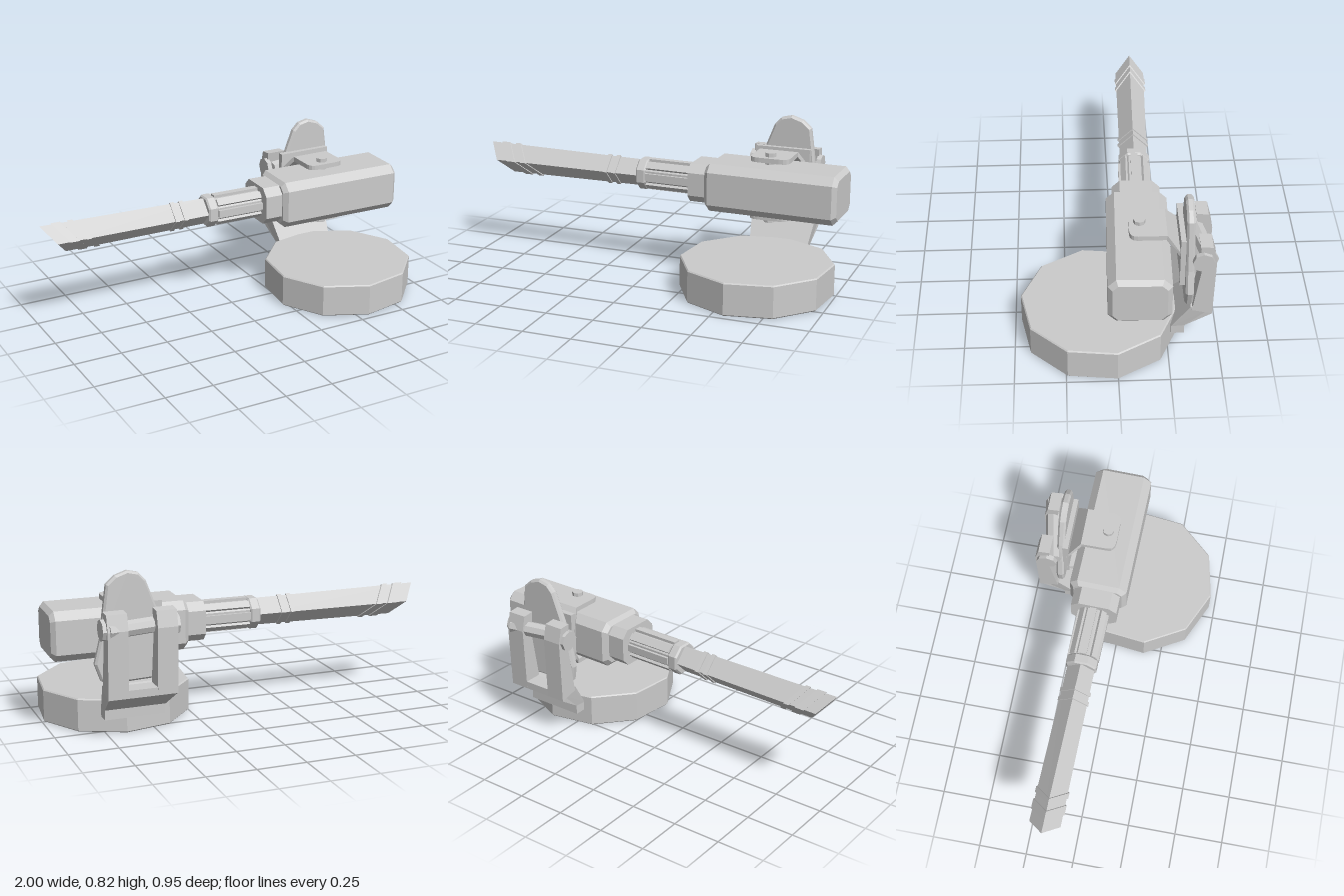
import * as THREE from 'three';

const mat = new THREE.MeshStandardMaterial({ color: 0xcccccc, flatShading: true });

function mesh(parent, name, geo, x = 0, y = 0, z = 0) {
  const m = new THREE.Mesh(geo, mat);
  m.name = name;
  m.position.set(x, y, z);
  parent.add(m);
  return m;
}

const shapeOf = pts => new THREE.Shape(pts.map(p => new THREE.Vector2(p[0], p[1])));

// Prism along x from a [z, y] profile; an optional bevel stays inside the outline
function prism(pts, x0, x1, bevel = 0) {
  const geo = new THREE.ExtrudeGeometry(shapeOf(pts.map(([z, y]) => [-z, y])), {
    depth: x1 - x0 - 2 * bevel, bevelEnabled: bevel > 0, bevelSegments: 1,
    bevelThickness: bevel, bevelSize: bevel, bevelOffset: -bevel,
  });
  return geo.rotateY(Math.PI / 2).translate(x0 + bevel, 0, 0);
}

// Rectangle with cut corners
const octagon = (h, w, c) => [
  [w, h - c], [w - c, h], [c - w, h], [-w, h - c],
  [-w, c - h], [c - w, -h], [w - c, -h], [w, c - h]];
const diamond = r => [[r, 0], [0, r], [-r, 0], [0, -r]];

function warp(geo, rule) {
  const p = geo.attributes.position;
  const v = new THREE.Vector3();
  for (let i = 0; i < p.count; i++) {
    rule(v.fromBufferAttribute(p, i));
    p.setXYZ(i, v.x, v.y, v.z);
  }
  geo.computeVertexNormals();
  return geo;
}

export function createModel() {
  const model = new THREE.Group();
  model.name = 'mountedGun';

  // Ten-sided base with a fine bevel
  const base = [[0.386, 0], [0.392, 0.006], [0.392, 0.164], [0.386, 0.17]];
  const baseProfile = [[0, 0], ...base, [0, 0.17]].map(p => new THREE.Vector2(...p));
  // Lathe angles run from +z towards +x
  mesh(model, 'base', new THREE.LatheGeometry(baseProfile, 10, -6.6 * Math.PI / 180), 0.605, 0, 0.08);

  // Gun, turned very slightly about its mount
  const gun = new THREE.Group();
  gun.name = 'gun';
  gun.position.set(0, 0.5, -0.12);
  gun.rotation.y = -0.0225;
  model.add(gun);
  mesh(gun, 'receiver', prism(octagon(0.125, 0.15, 0.04), 0.3, 0.995, 0.022), 0, -0.005, 0);
  mesh(gun, 'neck', prism(octagon(0.1, 0.12, 0.04), 0.205, 0.31));
  mesh(gun, 'gripCore', prism(octagon(0.068, 0.068, 0.04), -0.1, 0.21));
  mesh(gun, 'gripCollar', prism(octagon(0.079, 0.079, 0.045), -0.105, -0.05, 0.008));
  for (let i = 0; i < 8; i++) {
    const rib = mesh(gun, 'gripRib', new THREE.BoxGeometry(0.26, 0.036, 0.03).translate(0, 0, 0.067), 0.08);
    rib.rotation.x = i * Math.PI / 4;
  }

  // Diamond barrel with a slanted muzzle
  const slant = v => { v.x -= v.y * 0.83; };
  const barrel = warp(prism(diamond(1), -0.933, -0.09), v => {
    const r = v.x < -0.5 ? 0.079 : 0.071;
    v.y *= r;
    v.z *= r;
    if (v.x < -0.5) slant(v);
  });
  mesh(gun, 'barrel', barrel);
  for (const x of [-0.295, -0.245]) mesh(gun, 'barrelRing', prism(diamond(0.08), x, x + 0.022));
  for (const [x0, x1] of [[-0.87, -0.82], [-0.785, -0.755]]) {
    mesh(gun, 'muzzleBand', warp(prism(diamond(0.085), x0, x1), slant));
  }

  // Upper and lower yoke arms with pivot pins
  const armSide = [[-0.12, 0.138], [-0.12, 0.163], [-0.24, 0.163], [-0.31, 0.075], [-0.31, 0.05], [-0.235, 0.138]];
  const armTip = new THREE.Shape();
  armTip.moveTo(0.51, 0.12);
  armTip.lineTo(0.51, 0.1);
  armTip.quadraticCurveTo(0.51, 0.06, 0.56, 0.06);
  armTip.lineTo(0.665, 0.06);
  armTip.quadraticCurveTo(0.715, 0.06, 0.715, 0.1);
  armTip.lineTo(0.715, 0.12);
  for (const s of [1, -1]) {
    const yoke = new THREE.Group();
    yoke.name = s > 0 ? 'upperYoke' : 'lowerYoke';
    yoke.position.y = 0.497;
    model.add(yoke);
    const arm = warp(prism(armSide.map(([z, y]) => [z, s * y]), 0.51, 0.715), v => {
      if (v.z < -0.3) v.x += (v.x - 0.6125) * 0.4;
    });
    mesh(yoke, 'yokeArm', arm);
    const tip = new THREE.ExtrudeGeometry(armTip, { depth: 0.025, bevelEnabled: false, curveSegments: 4 });
    tip.rotateX(-Math.PI / 2);
    mesh(yoke, 'yokeTip', tip, 0, s > 0 ? 0.138 : -0.163, 0);
    mesh(yoke, 'pivotPin', new THREE.CylinderGeometry(0.029, 0.029, 0.07, 8), 0.608, s * 0.148, -0.112);
  }

  // Mounting plate and shield behind the gun
  mesh(model, 'mountPlate', new THREE.BoxGeometry(0.29, 0.27, 0.03), 0.615, 0.525, -0.315);
  const outline = [
    [0.48, 0.285], [0.76, 0.275], [0.79, 0.295], [0.82, 0.38], [0.79, 0.5], [0.775, 0.62],
    [0.755, 0.765], [0.71, 0.805], [0.65, 0.825], [0.595, 0.812], [0.56, 0.775],
    [0.5, 0.62], [0.465, 0.5], [0.44, 0.38], [0.452, 0.3]];
  const shield = new THREE.ExtrudeGeometry(shapeOf(outline), {
    depth: 0.02, bevelSegments: 1, bevelThickness: 0.01, bevelSize: 0.01, bevelOffset: -0.01,
  });
  mesh(model, 'shield', shield, 0, 0, -0.355);

  // Rear bracket: foot, two uprights and the axle
  const foot = [
    [-0.265, 0.13], [-0.265, 0.085], [-0.33, 0.085], [-0.33, 0.135],
    [-0.46, 0.225], [-0.461, 0.265], [-0.37, 0.265], [-0.355, 0.27]];
  mesh(model, 'bracketFoot', warp(prism(foot, 0.44, 0.785), v => {
    if (v.y < 0.2) v.x += (0.6125 - v.x) * 0.1;
  }));
  const upright = [
    [-0.36, 0.25], [-0.46, 0.225], [-0.47, 0.56], [-0.45, 0.64],
    [-0.39, 0.645], [-0.405, 0.53], [-0.367, 0.285]];
  for (const x of [0.436, 0.683]) mesh(model, 'bracketUpright', prism(upright, x, x + 0.102));
  const rod = (r, len) => new THREE.CylinderGeometry(r, r, len, 8).rotateX(0.2).rotateZ(Math.PI / 2);
  mesh(model, 'axle', rod(0.04, 0.34), 0.611, 0.56, -0.407);
  for (const x of [0.431, 0.791]) {
    const cap = new THREE.CylinderGeometry(0.053, 0.053, 0.025, 8).rotateZ(Math.PI / 2);
    mesh(model, 'axleCap', cap, x, 0.56, -0.407);
  }
  return model;
}
